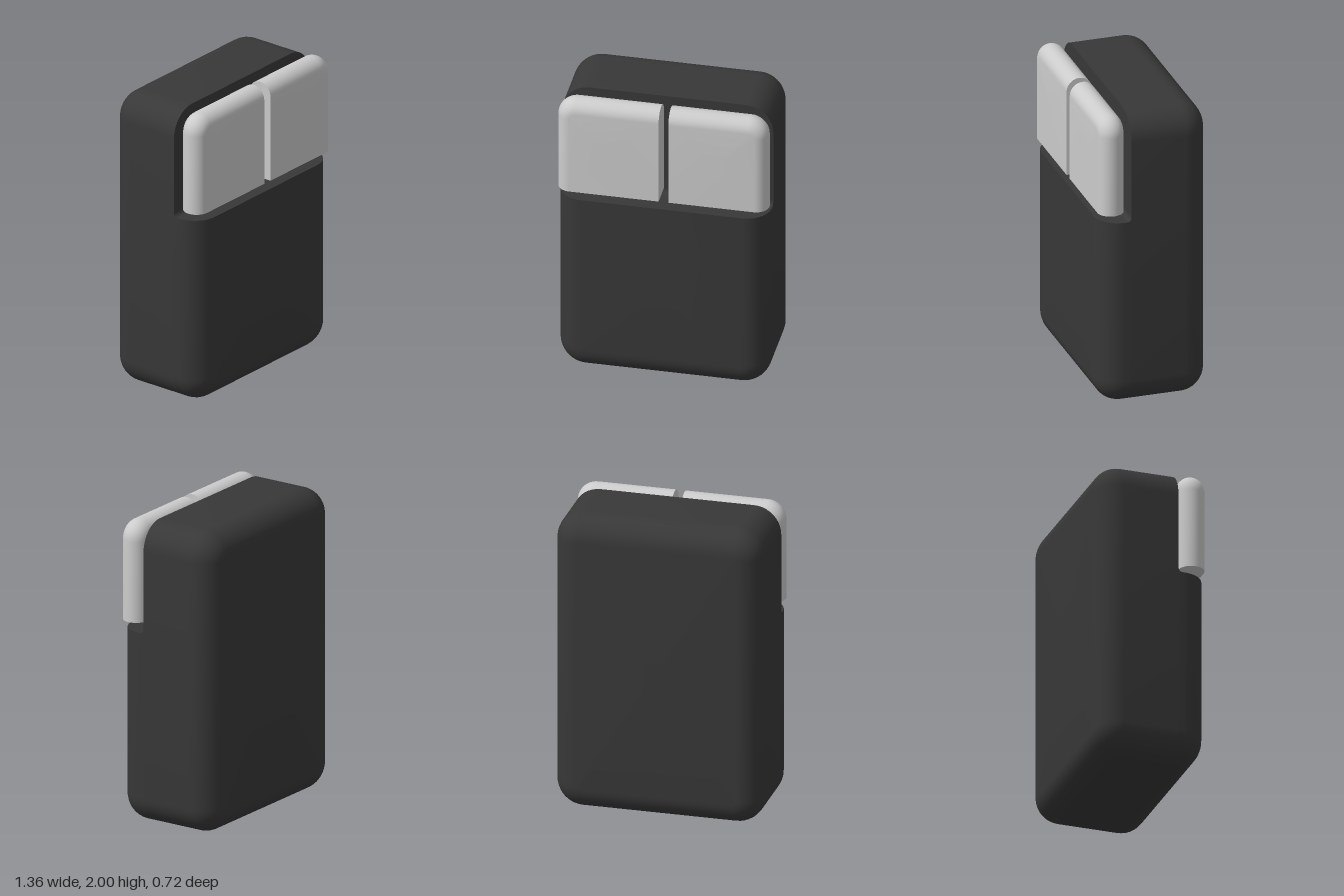
import * as THREE from 'three';
import { toCreasedNormals } from 'three/addons/utils/BufferGeometryUtils.js';

const SEG = 10;
const CORNERS = [[1, -1], [1, 1], [-1, 1], [-1, -1]];

// Rectangle outline, counter-clockwise. Sides listed in flat keep square corners and ignore the inset.
function outline({ x0, x1, y0, y1, radius, flat = [] }, inset) {
  const isFlat = (side) => flat.includes(side);
  const pts = [];
  CORNERS.forEach(([sx, sy], k) => {
    const fx = isFlat(sx > 0 ? 'x1' : 'x0'), fy = isFlat(sy > 0 ? 'y1' : 'y0');
    const x = (sx > 0 ? x1 : x0) - (fx ? 0 : sx * inset);
    const y = (sy > 0 ? y1 : y0) - (fy ? 0 : sy * inset);
    if (fx || fy) { pts.push([x, y]); return; }
    const r = radius - inset;
    for (let i = 0; i <= SEG; i++) {
      const a = (k - 1 + i / SEG) * Math.PI / 2;
      pts.push([x - sx * r + r * Math.cos(a), y - sy * r + r * Math.sin(a)]);
    }
  });
  return pts;
}

// Solid lofted along z with quarter-round edges of size back / front (0 = square edge)
function softBlock(spec) {
  const { z0, z1, back = 0, front = 0, capBack = true } = spec;
  const layers = [];
  const arc = (r, z, dir) => {
    const list = [];
    for (let i = 0; i <= (r ? SEG : 0); i++) {
      const a = i / SEG * Math.PI / 2;
      list.push([r * (1 - Math.sin(a)), z + dir * r * (1 - Math.cos(a))]);
    }
    return list;
  };
  layers.push(...arc(back, z0, 1), ...arc(front, z1, -1).reverse());

  const pos = [], index = [];
  const rings = layers.map(([inset, z]) => outline(spec, inset).map(([x, y]) => [x, y, z]));
  const n = rings[0].length;
  rings.forEach((ring) => ring.forEach((p) => pos.push(...p)));
  for (let j = 0; j < rings.length - 1; j++) {
    for (let i = 0; i < n; i++) {
      const a = j * n + i, b = j * n + (i + 1) % n;
      index.push(a, b, b + n, a, b + n, a + n);
    }
  }
  // End caps as fans
  const cap = (start, z, flip) => {
    const c = pos.length / 3;
    pos.push((spec.x0 + spec.x1) / 2, (spec.y0 + spec.y1) / 2, z);
    for (let i = 0; i < n; i++) {
      const a = start + i, b = start + (i + 1) % n;
      index.push(c, flip ? b : a, flip ? a : b);
    }
  };
  if (capBack) cap(0, z0, true);
  cap((rings.length - 1) * n, z1, false);

  const g = new THREE.BufferGeometry();
  g.setAttribute('position', new THREE.Float32BufferAttribute(pos, 3));
  g.setIndex(index);
  return toCreasedNormals(g, Math.PI / 6);
}

export function createModel() {
  const group = new THREE.Group();
  const dark = new THREE.MeshStandardMaterial({ color: 0x383838 });
  const grey = new THREE.MeshStandardMaterial({ color: 0xcccccc });
  const add = (name, geometry, material) => {
    const mesh = new THREE.Mesh(geometry, material);
    mesh.name = name;
    group.add(mesh);
    return mesh;
  };
  const W = 0.68, step = 0.16, shelf = 1.28;

  // Full-height rear of the body
  add('bodyBack', softBlock({
    x0: -W, x1: W, y0: 0, y1: 2, radius: 0.18, z0: -0.36, z1: step, back: 0.16,
  }), dark);

  // Lower front of the body, cut flat at the shelf
  add('bodyFront', softBlock({
    x0: -W, x1: W, y0: 0, y1: shelf, radius: 0.18, flat: ['y1'],
    z0: step, z1: 0.36, front: 0.16, capBack: false,
  }), dark);

  // Small concave fillet where the shelf meets the rear wall
  const f = 0.03;
  const shape = new THREE.Shape();
  shape.moveTo(0, 0);
  shape.lineTo(f, 0);
  shape.absarc(f, f, f, -Math.PI / 2, -Math.PI, true);
  const fillet = add('shelfFillet', toCreasedNormals(new THREE.ExtrudeGeometry(shape, {
    depth: 2 * W, bevelEnabled: false, curveSegments: 6,
  }), Math.PI / 6), dark);
  fillet.rotation.y = -Math.PI / 2;
  fillet.position.set(W, shelf, step);

  // Two buttons: round on top and outside, flat underneath and along the gap
  const button = { y0: 1.335, y1: 1.995, radius: 0.125, z0: 0.19, z1: 0.36, back: 0.085, front: 0.085 };
  add('rightButton', softBlock({ ...button, x0: -W, x1: -0.018, flat: ['x1', 'y0'] }), grey);
  add('leftButton', softBlock({ ...button, x0: 0.045, x1: W, flat: ['x0', 'y0'] }), grey);

  return group;
}
